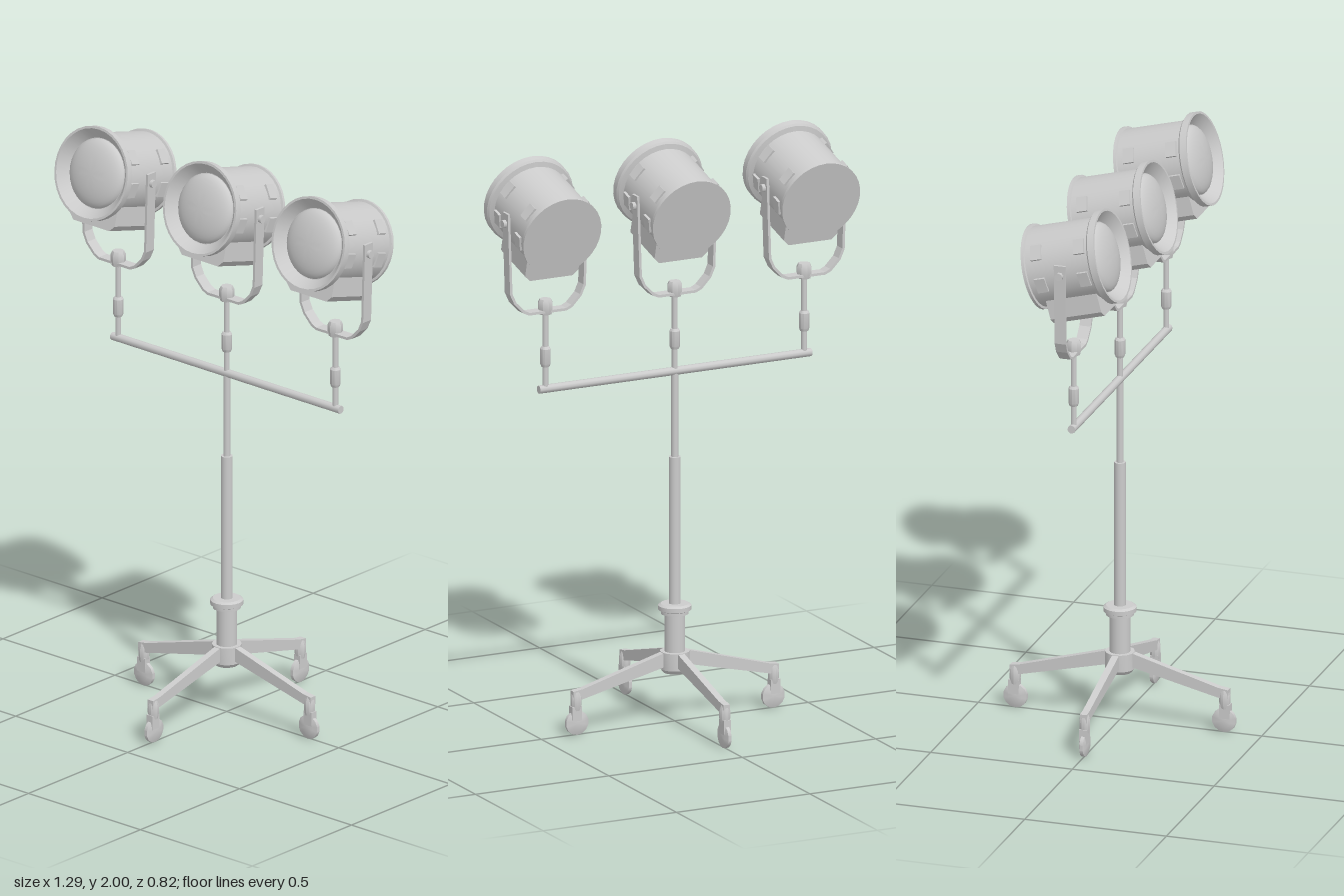
import * as THREE from 'three';
import { toCreasedNormals } from 'three/addons/utils/BufferGeometryUtils.js';

const TILT = THREE.MathUtils.degToRad(15);
const PIVOT_Y = 1.81;
const material = new THREE.MeshStandardMaterial({ color: 0xcccccc });

function add(parent, name, geometry, x = 0, y = 0, z = 0) {
  const mesh = new THREE.Mesh(geometry, material);
  mesh.name = name;
  mesh.position.set(x, y, z);
  parent.add(mesh);
  return mesh;
}

// Lathe with sharp profile corners, from [radius, height] pairs listed bottom to top
function turned(profile, segments = 24) {
  const points = profile.map(([r, h]) => new THREE.Vector2(r, h));
  return toCreasedNormals(new THREE.LatheGeometry(points, segments), 0.5);
}

// Outline extruded along z and centred on z = 0
function plate(outline, depth) {
  const shape = new THREE.Shape(outline.map(([x, y]) => new THREE.Vector2(x, y)));
  return new THREE.ExtrudeGeometry(shape, { depth, bevelEnabled: false }).translate(0, 0, -depth / 2);
}

// Vertical rod between two heights
function rod(radius, y0, y1, segments = 12) {
  return new THREE.CylinderGeometry(radius, radius, y1 - y0, segments).translate(0, (y0 + y1) / 2, 0);
}

function createLampHead() {
  const head = new THREE.Group();
  head.name = 'lampHead';

  // Drum with a flat flanged back and a flared front rim
  add(head, 'drum', turned([
    [0, -0.131], [0.145, -0.131], [0.145, -0.121], [0.137, -0.119],
    [0.137, 0.107], [0.154, 0.112], [0.16, 0.118], [0.16, 0.142],
    [0.152, 0.142], [0.12, 0.108], [0, 0.108],
  ], 32).rotateX(Math.PI / 2));

  // Domed lens
  const lens = [];
  for (let i = 0; i <= 8; i++) {
    const a = (i / 8) * Math.PI / 2;
    lens.push([0.118 * Math.cos(a), 0.108 + 0.036 * Math.sin(a)]);
  }
  add(head, 'lens', turned(lens, 32).rotateX(Math.PI / 2));

  // Chamfered housing under the drum
  add(head, 'lowerHousing', plate([
    [-0.1, -0.07], [-0.1, -0.16], [-0.08, -0.18],
    [0.08, -0.18], [0.1, -0.16], [0.1, -0.07],
  ], 0.185));

  // Framed vents around both sides
  for (const side of [1, -1]) {
    for (const degrees of [36, -11]) {
      for (const z of [0.078, -0.078]) {
        const a = THREE.MathUtils.degToRad(degrees);
        const vent = add(head, 'vent', new THREE.BoxGeometry(0.014, 0.052, 0.038),
          side * 0.136 * Math.cos(a), 0.136 * Math.sin(a), z);
        vent.rotation.z = side * a;
      }
    }
    // Pivot bolt
    const bolt = add(head, 'pivotBolt', new THREE.CylinderGeometry(0.014, 0.014, 0.03, 8), side * 0.147);
    bolt.rotation.z = Math.PI / 2;
  }
  head.position.y = PIVOT_Y;
  head.rotation.x = -TILT;
  return head;
}

function createLamp(x) {
  const lamp = new THREE.Group();
  lamp.name = 'lamp';
  lamp.position.x = x;
  lamp.add(createLampHead());

  // U-shaped yoke strip
  const outer = [[0.151, 1.846], [0.142, 1.565], [0.126, 1.53], [0.092, 1.495], [0.07, 1.485]];
  const inner = [[0.142, 1.846], [0.133, 1.568], [0.119, 1.536], [0.087, 1.503], [0.068, 1.494]];
  const mirror = (list) => list.map(([px, py]) => [-px, py]).reverse();
  add(lamp, 'yoke', plate([...outer, ...mirror(outer), ...mirror(inner).reverse(), ...inner.slice().reverse()], 0.04));

  // Nut, stem and coupling
  add(lamp, 'yokeNut', turned([[0, 1.478], [0.022, 1.478], [0.026, 1.495], [0.026, 1.518], [0.02, 1.53], [0, 1.53]], 8));
  add(lamp, 'stem', rod(0.01, 1.215, 1.485));
  add(lamp, 'coupling', turned([[0, 1.295], [0.014, 1.295], [0.018, 1.305], [0.018, 1.357], [0.013, 1.365], [0, 1.365]], 12));
  return lamp;
}

function createLeg(angle) {
  const leg = new THREE.Group();
  leg.name = 'leg';
  leg.rotation.y = angle;

  // Sloping arm
  add(leg, 'legArm', plate([[0.02, 0.198], [0.05, 0.194], [0.35, 0.123], [0.385, 0.123], [0.385, 0.153], [0.35, 0.158], [0.05, 0.243], [0.02, 0.245]], 0.024));

  // Caster: swivel, fork and tapered wheel
  add(leg, 'casterSwivel', turned([[0, 0.085], [0.015, 0.085], [0.019, 0.105], [0.019, 0.132], [0.013, 0.15], [0, 0.15]], 10), 0.37);
  add(leg, 'casterFork', new THREE.BoxGeometry(0.036, 0.05, 0.026), 0.372, 0.075);
  add(leg, 'casterWheel', turned([
    [0, -0.013], [0.025, -0.012], [0.042, -0.006], [0.042, 0.006], [0.025, 0.012], [0, 0.013],
  ], 14).rotateX(Math.PI / 2), 0.368, 0.042);
  return leg;
}

export function createModel() {
  const model = new THREE.Group();
  model.name = 'studioLightStand';

  // Rolling base
  for (let i = 0; i < 4; i++) model.add(createLeg(i * Math.PI / 2));
  add(model, 'hub', turned([[0, 0.172], [0.04, 0.172], [0.05, 0.185], [0.05, 0.245], [0, 0.245]], 16));
  add(model, 'baseColumn', rod(0.035, 0.24, 0.385, 20));
  add(model, 'collar', turned([[0, 0.375], [0.047, 0.375], [0.047, 0.385], [0.056, 0.389], [0.056, 0.404], [0.047, 0.41], [0, 0.41]], 20));

  // Telescoping mast
  add(model, 'lowerMast', rod(0.02, 0.4, 0.92, 16));
  add(model, 'upperMast', rod(0.012, 0.91, 1.22));

  // Crossbar carrying the three lamps
  const bar = add(model, 'crossbar', new THREE.CylinderGeometry(0.014, 0.014, 1.02, 10), 0, 1.217, 0);
  bar.rotation.z = Math.PI / 2;
  for (const x of [-0.485, 0, 0.485]) model.add(createLamp(x));
  return model;
}
